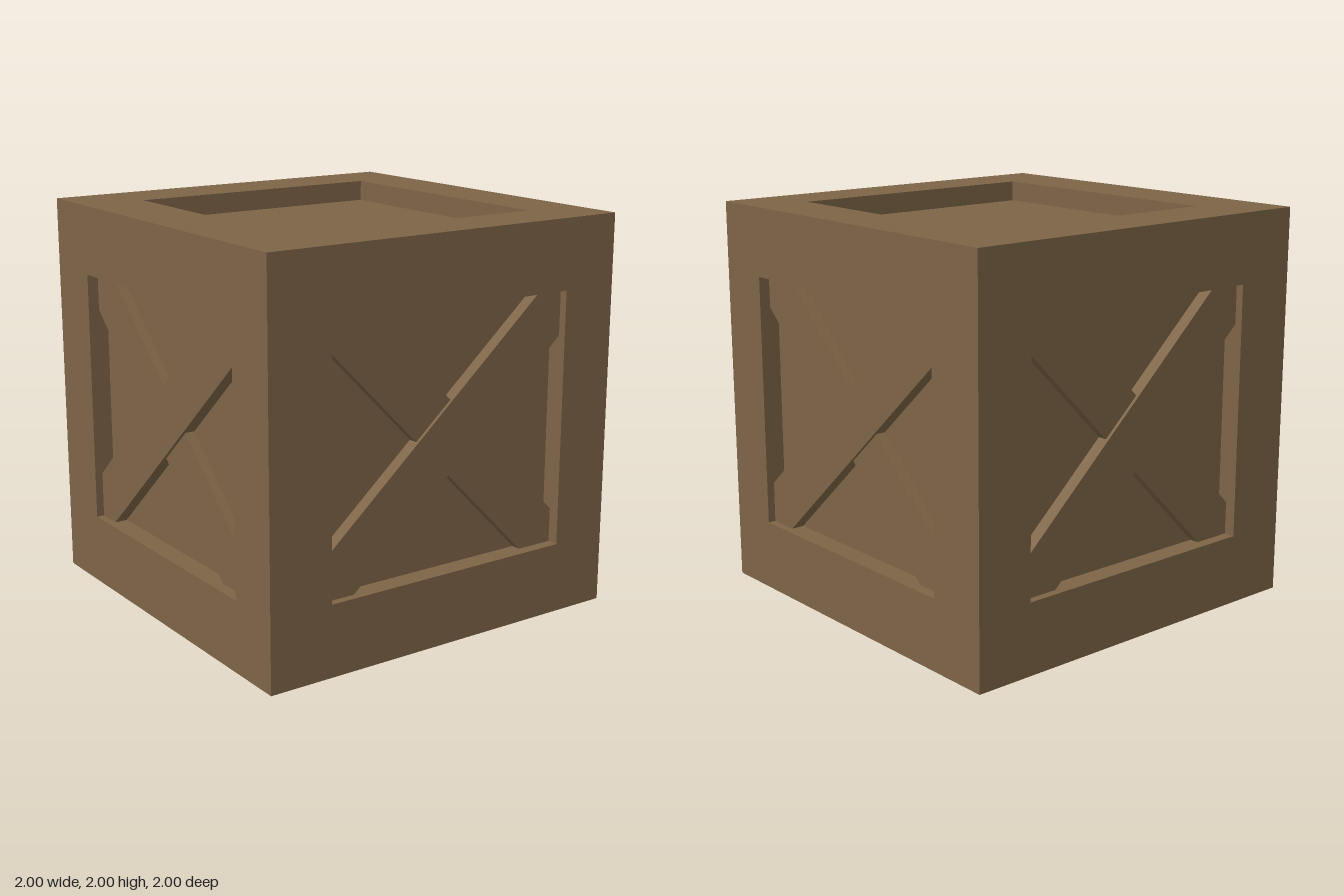
import * as THREE from 'three';

const DEPTH = 0.105; // thickness of the outer frame, and so the depth of every recess

// Flat plate with a rectangular opening; each rectangle is [x0, x1, y0, y1]
function framePlate(outer, hole) {
  const trace = (path, [x0, x1, y0, y1]) =>
    path.moveTo(x0, y0).lineTo(x1, y0).lineTo(x1, y1).lineTo(x0, y1).closePath();
  const shape = trace(new THREE.Shape(), outer);
  shape.holes.push(trace(new THREE.Path(), hole));
  return new THREE.ExtrudeGeometry(shape, { depth: DEPTH, bevelEnabled: false });
}

export function createModel() {
  const wood = new THREE.MeshStandardMaterial({ color: 0x7d6446 });
  wood.name = 'brown wood';

  const crate = new THREE.Group();
  crate.name = 'crate';
  const add = (parent, name, geometry) => {
    const mesh = new THREE.Mesh(geometry, wood);
    mesh.name = name;
    parent.add(mesh);
    return mesh;
  };

  // Inner box whose faces are the recessed panels
  const inner = 2 - 2 * DEPTH;
  add(crate, 'innerPanels', new THREE.BoxGeometry(inner, inner, inner)).position.y = 1;

  // Lid and base frames
  for (const [name, y] of [['topFrame', 2 - DEPTH], ['bottomFrame', 0]]) {
    const plate = add(crate, name, framePlate([-1, 1, -1, 1], [-0.67, 0.7, -0.71, 0.68]));
    plate.rotation.x = -Math.PI / 2;
    plate.position.y = y;
  }

  // Four sides: opening from u0 to u1, upper and lower brace as [centre height, slope]
  const half = inner / 2;
  const sides = [
    { name: 'front', w: 1, u: [-0.67, 0.7], upper: [0.986, 0.872], lower: [1.054, -1.011] },
    { name: 'left', w: half, u: [-0.71, 0.68], upper: [1.03, 0.9], lower: [1.008, -0.933] },
    { name: 'back', w: 1, u: [-0.7, 0.67], upper: [1.01, 0.92], lower: [1.015, -1.006] },
    { name: 'right', w: half, u: [-0.68, 0.71], upper: [1.03, 0.9], lower: [1.008, -0.933] },
  ];
  sides.forEach(({ name, w, u, upper, lower }, i) => {
    const side = new THREE.Group();
    side.name = name + 'Side';
    side.rotation.y = i * Math.PI / 2;
    crate.add(side);

    const frame = add(side, name + 'Frame',
      framePlate([-w, w, DEPTH, 2 - DEPTH], [u[0], u[1], 0.36, 1.65]));
    frame.position.z = 1 - DEPTH;

    // Crossed braces, their ends buried in the frame
    for (const [label, [y, slope], top] of [['UpperBrace', upper, 0.04], ['LowerBrace', lower, 0.057]]) {
      const brace = add(side, name + label, new THREE.BoxGeometry(2.08, 0.262, 0.1));
      brace.position.set(0, y, 1 - top - 0.05);
      brace.rotation.z = Math.atan(slope);
    }
  });

  return crate;
}
